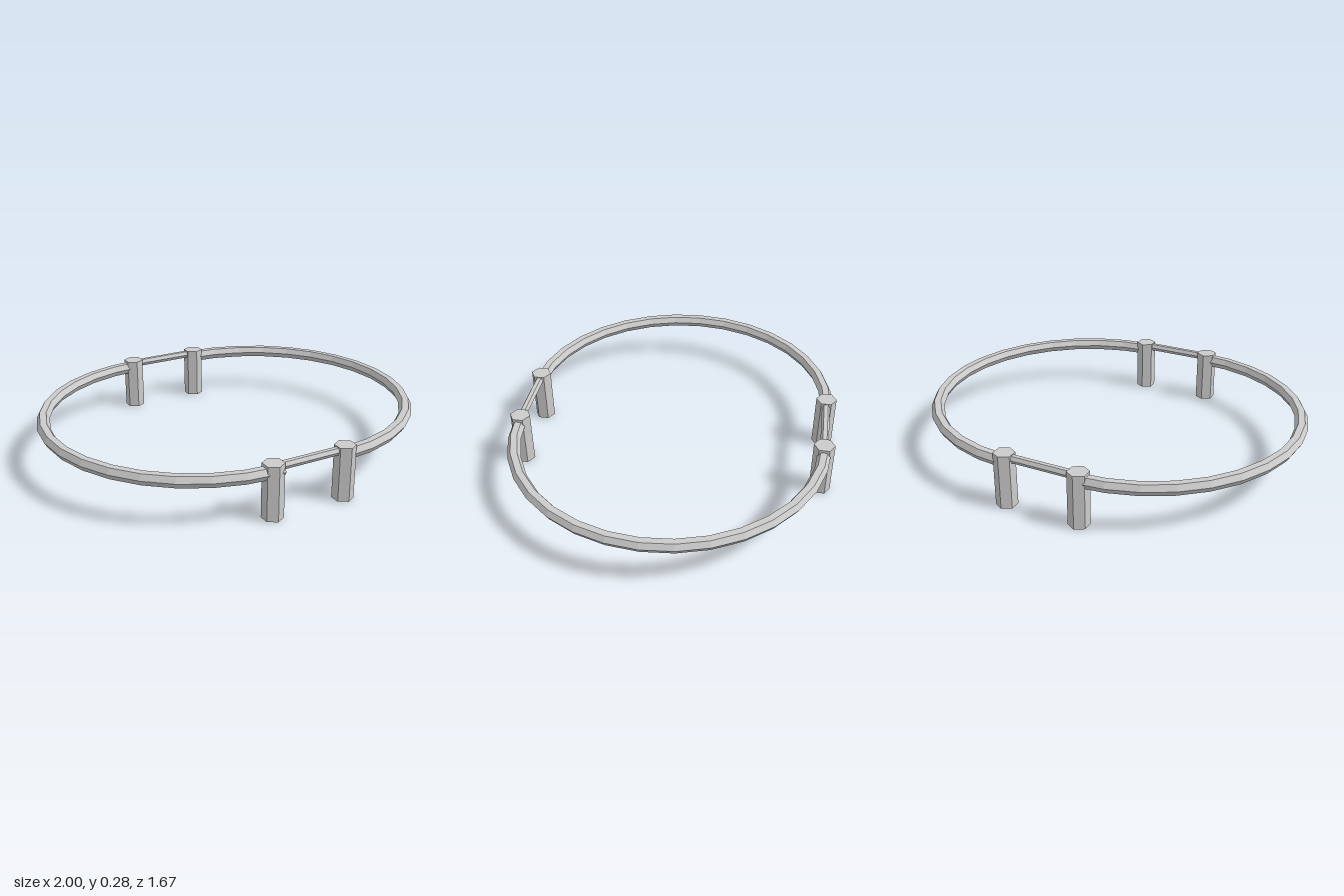
import * as THREE from 'three';

export function createModel() {
  const group = new THREE.Group();
  const material = new THREE.MeshStandardMaterial({ color: 0xcccccc, flatShading: true });

  const add = (name, geometry, x, y, z) => {
    const mesh = new THREE.Mesh(geometry, material);
    mesh.name = name;
    mesh.position.set(x, y, z);
    group.add(mesh);
  };
  // Hexagonal bar lying along x
  const bar = (radius, length) =>
    new THREE.CylinderGeometry(radius, radius, length, 6).rotateZ(Math.PI / 2);

  const ringRadius = 0.787, tube = 0.033, ringY = 0.234, postZ = 0.782;
  const postX = { left: 0.192, right: -0.2 };

  // Two half rings with a hexagonal section
  for (const [side, s] of [['left', 1], ['right', -1]]) {
    const half = new THREE.TorusGeometry(ringRadius, tube, 6, 16, Math.PI)
      .rotateZ(-s * Math.PI / 2)
      .rotateX(Math.PI / 2);
    add(`${side}HalfRing`, half, s * 0.18, ringY, 0);
  }
  // End of the right half ring passing through its front post
  add('ringEnd', bar(tube, 0.05), -0.18, ringY, ringRadius);

  // Posts and connecting rods, front and back
  for (const [end, s] of [['front', 1], ['back', -1]]) {
    for (const side of ['left', 'right']) {
      const post = new THREE.CylinderGeometry(0.053, 0.053, 0.277, 6);
      add(`${end}${side === 'left' ? 'Left' : 'Right'}Post`, post, postX[side], 0.1385, s * postZ);
    }
    add(`${end}Rod`, bar(0.021, 0.39), -0.004, 0.254, s * postZ);
  }
  return group;
}
